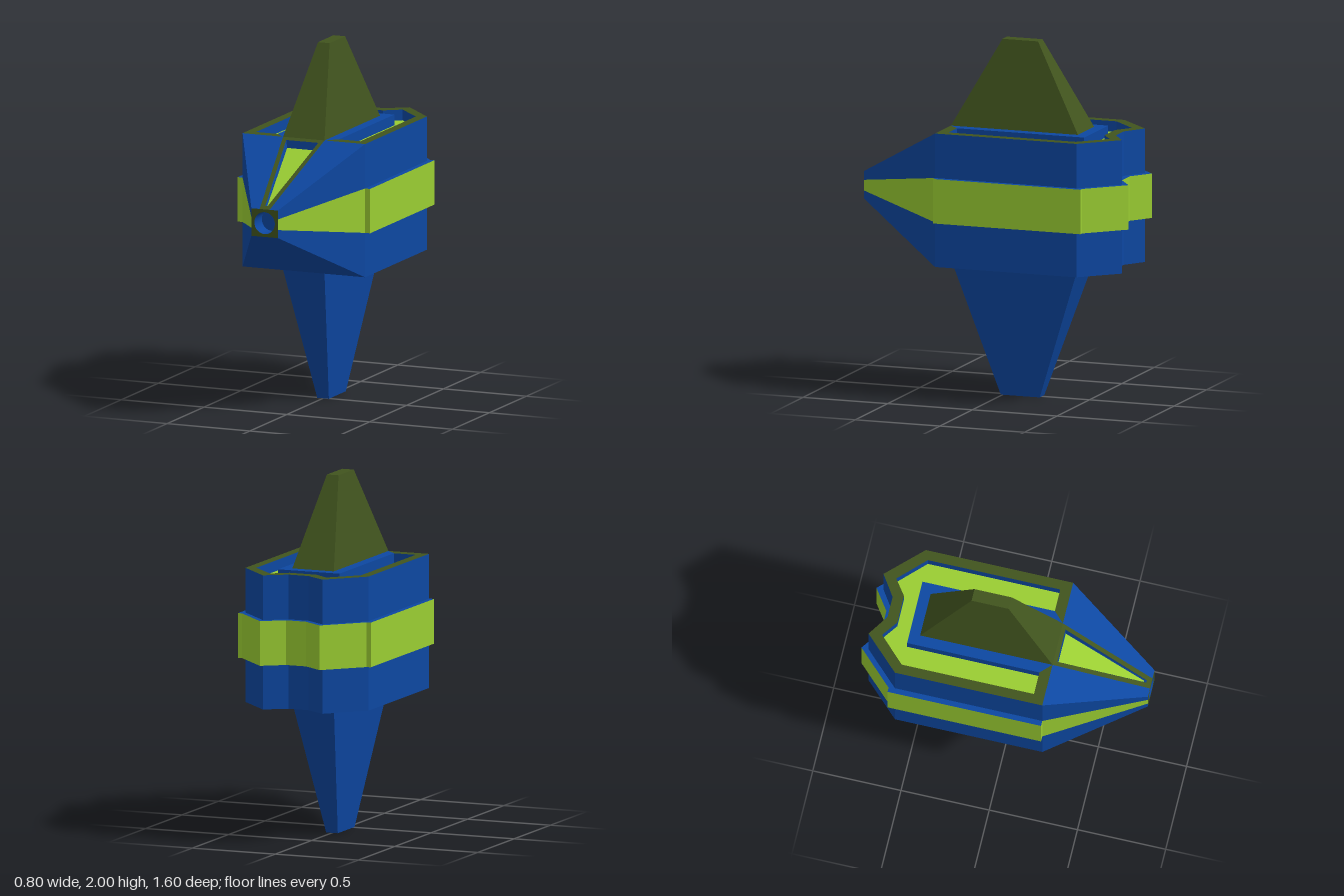
import * as THREE from 'three';

const mat = (color) => new THREE.MeshStandardMaterial({ color, flatShading: true });

export function createModel() {
  const model = new THREE.Group();
  const blue = mat(0x0d47a1), lime = mat(0x9acd32), olive = mat(0x41541e);
  const add = (name, geometry, material, parent = model) => {
    const mesh = new THREE.Mesh(geometry, material);
    mesh.name = name;
    parent.add(mesh);
    return mesh;
  };

  // Half outline [x, z] mirrored to the other side
  const mirror = (half) => [...half, ...half.map(([x, z]) => [-x, z]).reverse()];
  // Vertical prism from a plan outline
  const prism = (outline, y0, y1) => {
    const shape = new THREE.Shape(outline.map(([x, z]) => new THREE.Vector2(x, -z)));
    return new THREE.ExtrudeGeometry(shape, { depth: y1 - y0, bevelEnabled: false })
      .rotateX(-Math.PI / 2).translate(0, y0, 0);
  };
  // Flat quads, corners counter-clockwise from outside
  const quads = (list) => {
    const g = new THREE.BufferGeometry();
    const pos = list.flatMap(([a, b, c, d]) => [a, b, c, a, c, d].flat());
    g.setAttribute('position', new THREE.Float32BufferAttribute(pos, 3));
    g.computeVertexNormals();
    return g;
  };
  // Quads joining two matching rings
  const strips = (a, b) => a.map((p, i) => {
    const j = (i + 1) % a.length;
    return [p, a[j], b[j], b[i]];
  });

  // Main body with a U-shaped channel in the top
  const bodyHalf = [[0.37, 0.27], [0.37, -0.565], [0.18, -0.76], [0.06, -0.68]];
  const channelHalf = [[0.315, 0.21], [0.315, -0.54], [0.17, -0.685], [0.08, -0.62]];
  const floorY = 1.45, topY = 1.51;
  add('body', prism(mirror(bodyHalf), 0.76, floorY - 0.01), blue);
  add('channelFloor', prism(mirror(channelHalf), floorY - 0.01, floorY), lime);
  const rim = [
    [0.125, 0.27], ...mirror(bodyHalf), [-0.125, 0.27],
    [-0.185, 0.21], ...mirror(channelHalf).reverse(), [0.185, 0.21],
  ];
  add('topRim', prism(rim, floorY - 0.01, topY), [olive, blue]);
  add('topPedestal', prism(mirror([[0.125, 0.27], [0.185, 0.21], [0.185, -0.54]]), floorY - 0.01, topY), blue);

  // Raised band around the body
  const bandHalf = [[0.4, 0.27], [0.4, -0.6], [0.375, -0.6], [0.18, -0.8], [0.06, -0.715]];
  add('sideBand', prism(mirror(bandHalf), 1.01, 1.26), [blue, lime]);

  // Tapered fins above and below
  const rect = (x, y, zb, zf) => [[x, y, zb], [-x, y, zb], [-x, y, zf], [x, y, zf]];
  const fin = (name, low, high, material) =>
    add(name, quads([...strips(low, high), high, [...low].reverse()]), material);
  fin('topFin', rect(0.125, topY, -0.48, 0.27), rect(0.035, 2, -0.21, 0), olive);
  fin('bottomFin', rect(0.035, 0, -0.22, 0.01), rect(0.125, 0.76, -0.48, 0.27), blue);

  // Nose: pyramid sides between the body front and the small square tip
  const nose = new THREE.Group();
  nose.name = 'nose';
  model.add(nose);
  const ring = (x, ys, topX, z) => {
    const right = [...ys.map((y) => [x, y, z]), [topX, ys[3], z]];
    return [...right, ...right.map(([px, y]) => [-px, y, z]).reverse()];
  };
  const sides = strips(
    ring(0.37, [0.76, 1.01, 1.26, topY], 0.125, 0.27),
    ring(0.08, [1.055, 1.1, 1.16, 1.21], 0.03, 0.8));
  add('noseShell', quads([0, 2, 3, 5, 6, 8, 9].map((i) => sides[i])), blue, nose);
  add('noseBands', quads([1, 7].map((i) => sides[i])), lime, nose);

  // Framed sunken panel on the nose top
  const onTop = (x, t, drop = 0) => [x, topY - 0.3 * t - drop, 0.27 + 0.53 * t];
  const panelRing = (xb, tb, xf, tf, db = 0, df = 0) =>
    [onTop(xb, tb, db), onTop(-xb, tb, db), onTop(-xf, tf, df), onTop(xf, tf, df)];
  const outer = panelRing(0.125, 0, 0.03, 1);
  const inner = panelRing(0.097, 0.04, 0.007, 0.95);
  const sunk = panelRing(0.09, 0.045, 0.004, 0.92, 0.042, 0.015);
  add('panelFrame', quads(strips(outer, inner)), olive, nose);
  add('panelWalls', quads(strips(inner, sunk)), blue, nose);
  add('panelFloor', quads([sunk]), lime, nose);

  // Square tip with a round bore
  const tipY = 1.1325, radius = 0.062, depth = 0.1;
  const tip = new THREE.Shape([[-0.08, -0.0775], [0.08, -0.0775], [0.08, 0.0775], [-0.08, 0.0775]]
    .map(([x, y]) => new THREE.Vector2(x, y)));
  tip.holes.push(new THREE.Path().absarc(0, 0, radius, 0, Math.PI * 2, true));
  add('tipPlate', new THREE.ShapeGeometry(tip, 16).translate(0, tipY, 0.8), olive, nose);
  const boreMat = new THREE.MeshStandardMaterial({ color: 0x0d47a1, side: THREE.BackSide });
  add('boreWall', new THREE.CylinderGeometry(radius, radius, depth, 32, 1, true)
    .rotateX(Math.PI / 2).translate(0, tipY, 0.8 - depth / 2), boreMat, nose);
  add('boreEnd', new THREE.CircleGeometry(radius, 32).translate(0, tipY, 0.8 - depth), blue, nose);

  return model;
}
